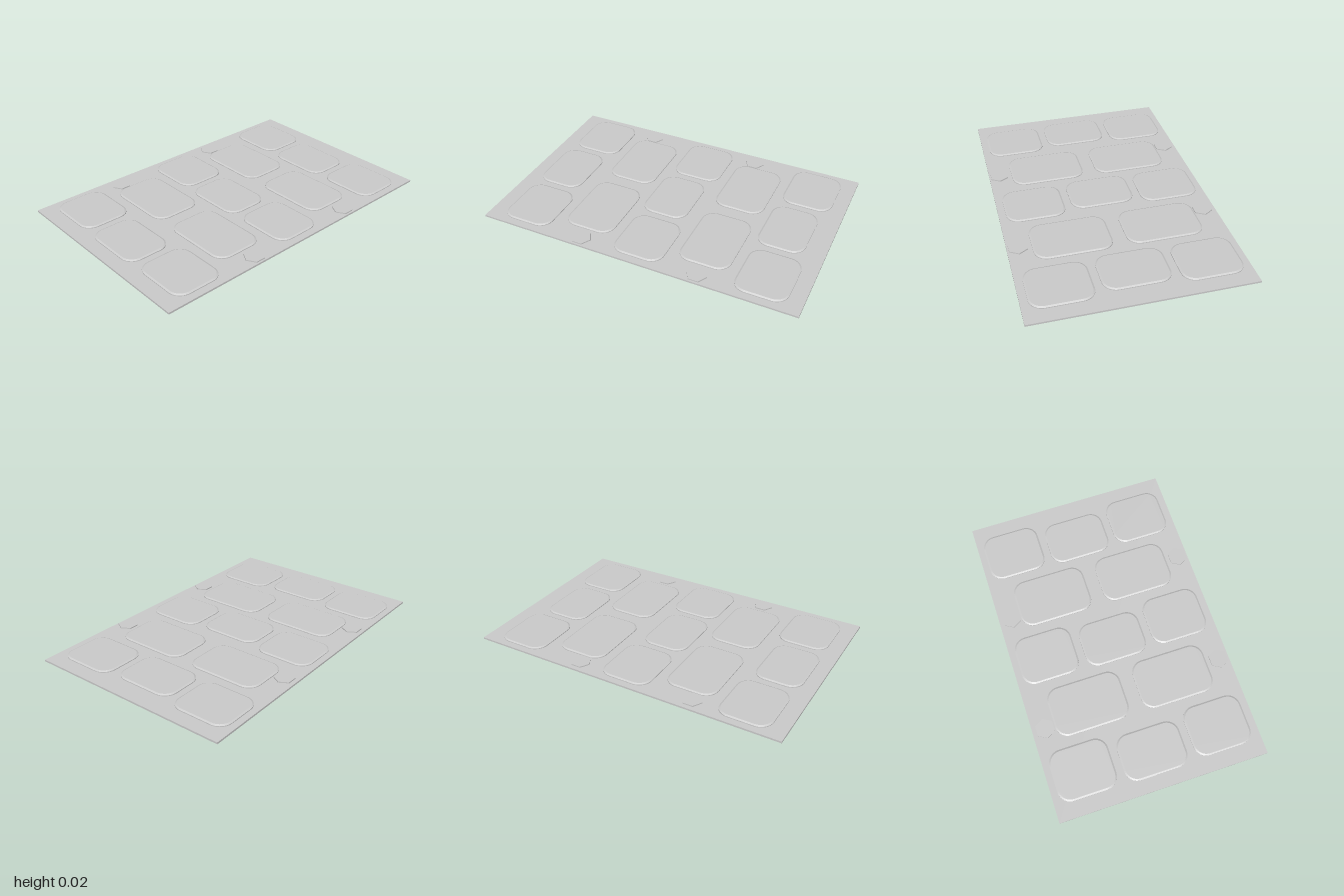
import * as THREE from 'three';

const material = new THREE.MeshStandardMaterial({ color: 0xcccccc, flatShading: true });
const BASE = 0.011, TOP = 0.021, BEVEL = 0.01;

// Rounded paving stone with a chamfered top, filling the given footprint
function pavingStone(x0, x1, z0, z1) {
  const w = (x1 - x0) / 2 - BEVEL, d = (z1 - z0) / 2 - BEVEL, r = 0.07;
  const shape = new THREE.Shape();
  shape.absarc(w - r, d - r, r, 0, Math.PI / 2);
  shape.absarc(r - w, d - r, r, Math.PI / 2, Math.PI);
  shape.absarc(r - w, r - d, r, Math.PI, Math.PI * 1.5);
  shape.absarc(w - r, r - d, r, Math.PI * 1.5, Math.PI * 2);
  const bevelThickness = 0.005;
  const geometry = new THREE.ExtrudeGeometry(shape, {
    depth: TOP - BASE, curveSegments: 5,
    bevelEnabled: true, bevelSegments: 1, bevelSize: BEVEL, bevelThickness,
  });
  geometry.rotateX(-Math.PI / 2);
  const mesh = new THREE.Mesh(geometry, material);
  // The lower chamfer is sunk into the slab
  mesh.position.set((x0 + x1) / 2, BASE - bevelThickness, (z0 + z1) / 2);
  mesh.name = 'pavingStone';
  return mesh;
}

export function createModel() {
  const model = new THREE.Group();
  model.name = 'stonePath';

  // Thin ground slab
  const slab = new THREE.Mesh(new THREE.BoxGeometry(1.3, BASE, 2), material);
  slab.position.y = BASE / 2;
  slab.name = 'slab';
  model.add(slab);

  // Rows of three, with the middle stone set slightly forward
  for (const z of [-0.75, 0, 0.75]) {
    model.add(
      pavingStone(-0.61, -0.245, z - 0.16, z + 0.155),
      pavingStone(-0.2, 0.195, z - 0.125, z + 0.165),
      pavingStone(0.24, 0.605, z - 0.16, z + 0.155),
    );
  }

  // Rows of two wide stones
  for (const z of [-0.375, 0.375]) {
    model.add(
      pavingStone(-0.51, -0.043, z - 0.16, z + 0.155),
      pavingStone(0.04, 0.505, z - 0.16, z + 0.155),
    );
  }

  // Small hexagonal pebbles along the edges
  const height = 0.017;
  const pebble = new THREE.CylinderGeometry(0.062, 0.062, height, 6);
  for (const [x, z] of [[-0.57, -0.31], [-0.57, 0.44], [0.585, -0.39], [0.585, 0.355]]) {
    const mesh = new THREE.Mesh(pebble, material);
    mesh.position.set(x, height / 2 + 0.001, z);
    mesh.name = 'pebble';
    model.add(mesh);
  }
  return model;
}
